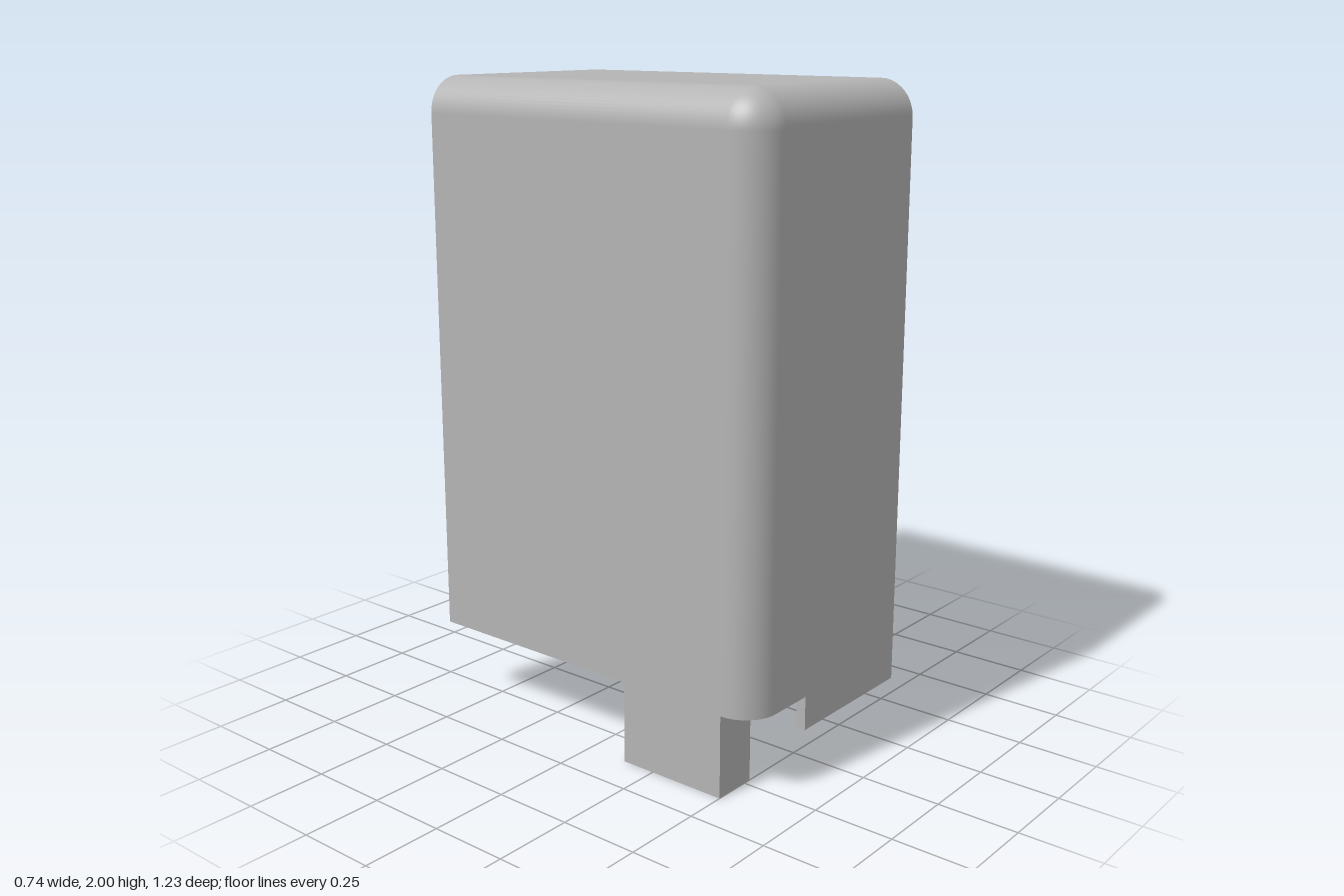
import * as THREE from 'three';

// Main planes of the cover
const X = 0.369, Z = 0.613, TOP = 2, BASE = 0.256;
const R = 0.11;                                       // outer edge rounding
const CEIL = 1.89, FRONT_IN = 0.545, COVE = 0.38;     // cavity
const THICK = -0.11, THIN = -0.262, RIM = -0.3;       // inner wall faces, in x
const STEP = -0.237, BEVEL = -0.577, RIM_Y = 1.926;
const V = (x, y, z) => new THREE.Vector3(x, y, z);

// Points on an arc, as [a, b] pairs
function arc(ca, cb, r, from, to, n = 16) {
  return Array.from({ length: n + 1 }, (_, i) => {
    const t = from + (to - from) * i / n;
    return [ca + r * Math.cos(t), cb + r * Math.sin(t)];
  });
}

// Geometry from points, normals and triangles, each wound to agree with its normal
function build(points, normals, tris) {
  const index = [];
  for (const [a, b, c] of tris) {
    const n = points[b].clone().sub(points[a]).cross(points[c].clone().sub(points[a]));
    if (n.lengthSq() < 1e-16) continue;
    const m = normals[a].clone().add(normals[b]).add(normals[c]);
    index.push(...(n.dot(m) >= 0 ? [a, b, c] : [a, c, b]));
  }
  const g = new THREE.BufferGeometry().setFromPoints(points);
  g.setAttribute('normal', new THREE.Float32BufferAttribute(normals.flatMap(n => n.toArray()), 3));
  g.setIndex(index);
  return g;
}

// Flat polygon facing the given direction
function panel(points, normal) {
  const n = normal.clone().normalize();
  const u = (Math.abs(n.y) > 0.9 ? V(1, 0, 0) : V(0, 1, 0)).cross(n).normalize();
  const v = n.clone().cross(u);
  const flat = points.map(p => new THREE.Vector2(p.dot(u), p.dot(v)));
  return build(points, points.map(() => n), THREE.ShapeUtils.triangulateShape(flat, []));
}

// Smooth surface through rows of { p, n }
function grid(rows) {
  const w = rows[0].length, tris = [], all = rows.flat();
  for (let i = 0; i + 1 < rows.length; i++) {
    for (let j = 0; j + 1 < w; j++) {
      const a = i * w + j, b = a + w;
      tris.push([a, b, a + 1], [a + 1, b, b + 1]);
    }
  }
  return build(all.map(k => k.p), all.map(k => k.n), tris);
}

// One level of the outer skin: front, rounded corner, side
function skinRow(y, tilt) {
  const r = R * Math.cos(tilt), row = [];
  const add = (x, z, phi) => row.push({
    p: V(x, y, z),
    n: V(Math.cos(phi) * Math.cos(tilt), Math.sin(tilt), Math.sin(phi) * Math.cos(tilt)),
  });
  add(X, Z - R + r, Math.PI / 2);
  for (let i = 0; i <= 16; i++) {
    const phi = Math.PI / 2 * (1 + i / 16);
    add(-X + R + r * Math.cos(phi), Z - R + r * Math.sin(phi), phi);
  }
  add(-X + R - r, -Z, Math.PI);
  return row;
}

export function createModel() {
  const group = new THREE.Group();
  const grey = new THREE.MeshStandardMaterial({ color: 0xb4b4b4, side: THREE.DoubleSide });
  grey.name = 'plain grey';
  const add = (name, geometry) => {
    const mesh = new THREE.Mesh(geometry, grey);
    mesh.name = name;
    group.add(mesh);
    return mesh;
  };
  const H = Math.PI / 2;

  // Rounded outside
  const rows = [skinRow(BASE, 0)];
  for (let i = 0; i <= 16; i++) {
    const t = H * i / 16;
    rows.push(skinRow(TOP - R + R * Math.sin(t), t));
  }
  add('outerSkin', grid(rows));
  add('topFace', panel([V(X, TOP, Z - R), V(R - X, TOP, Z - R), V(R - X, TOP, -Z), V(X, TOP, -Z)], V(0, 1, 0)));

  // Cut edges on the open side, back and bottom
  const cove = arc(FRONT_IN - COVE, CEIL - COVE, COVE, H, 0, 24);
  add('openSideEdge', panel([
    [Z, BASE], ...arc(Z - R, TOP - R, R, 0, H), [-Z, TOP], [-Z, RIM_Y], [BEVEL, CEIL],
    ...cove, [FRONT_IN, BASE],
  ].map(([z, y]) => V(X, y, z)), V(1, 0, 0)));
  add('backRim', panel([
    [-X, BASE], ...arc(R - X, TOP - R, R, Math.PI, H), [X, TOP], [X, RIM_Y], [RIM, RIM_Y], [RIM, BASE],
  ].map(([x, y]) => V(x, y, -Z)), V(0, 0, -1)));
  add('bottomEdge', panel([
    [X, Z], ...arc(R - X, Z - R, R, H, Math.PI), [-X, -Z], [RIM, -Z], [THIN, BEVEL],
    [THIN, STEP], [THICK, STEP], [THICK, FRONT_IN], [X, FRONT_IN],
  ].map(([x, z]) => V(x, BASE, z)), V(0, -1, 0)));

  // Bevels inside the back rim
  const d = BEVEL + Z;
  add('sideBevel', panel([V(RIM, BASE, -Z), V(RIM, RIM_Y, -Z), V(THIN, CEIL, BEVEL), V(THIN, BASE, BEVEL)],
    V(d, 0, RIM - THIN)));
  add('ceilingBevel', panel([V(X, RIM_Y, -Z), V(RIM, RIM_Y, -Z), V(THIN, CEIL, BEVEL), V(X, CEIL, BEVEL)],
    V(0, -d, CEIL - RIM_Y)));

  // Cavity
  add('thinInnerWall', panel([V(THIN, BASE, BEVEL), V(THIN, CEIL, BEVEL), V(THIN, CEIL, STEP), V(THIN, BASE, STEP)],
    V(1, 0, 0)));
  add('wallStep', panel([V(THIN, BASE, STEP), V(THIN, CEIL, STEP), V(THICK, CEIL, STEP), V(THICK, BASE, STEP)],
    V(0, 0, -1)));
  add('thickInnerWall', panel([[STEP, BASE], [STEP, CEIL], ...cove, [FRONT_IN, BASE]]
    .map(([z, y]) => V(THICK, y, z)), V(1, 0, 0)));
  const coveEnd = FRONT_IN - COVE;
  add('ceiling', panel([[X, BEVEL], [THIN, BEVEL], [THIN, STEP], [THICK, STEP], [THICK, coveEnd], [X, coveEnd]]
    .map(([x, z]) => V(x, CEIL, z)), V(0, -1, 0)));
  const profile = [...cove, [FRONT_IN, BASE]];
  add('innerFrontCurve', grid(profile.map(([z, y]) => {
    const n = V(0, -Math.max(0, y - CEIL + COVE), coveEnd - z).normalize();
    return [{ p: V(THICK, y, z), n }, { p: V(X, y, z), n }];
  })));

  // Parts hanging below the bottom edge
  const block = (name, x0, x1, y0, z0, z1) =>
    add(name, new THREE.BoxGeometry(x1 - x0, BASE - y0, z1 - z0))
      .position.set((x0 + x1) / 2, (y0 + BASE) / 2, (z0 + z1) / 2);
  block('frontLip', THICK, X, 0.151, 0.582, Z);
  block('footTab', -X, -0.225, 0, 0.14, 0.5);

  return group;
}
